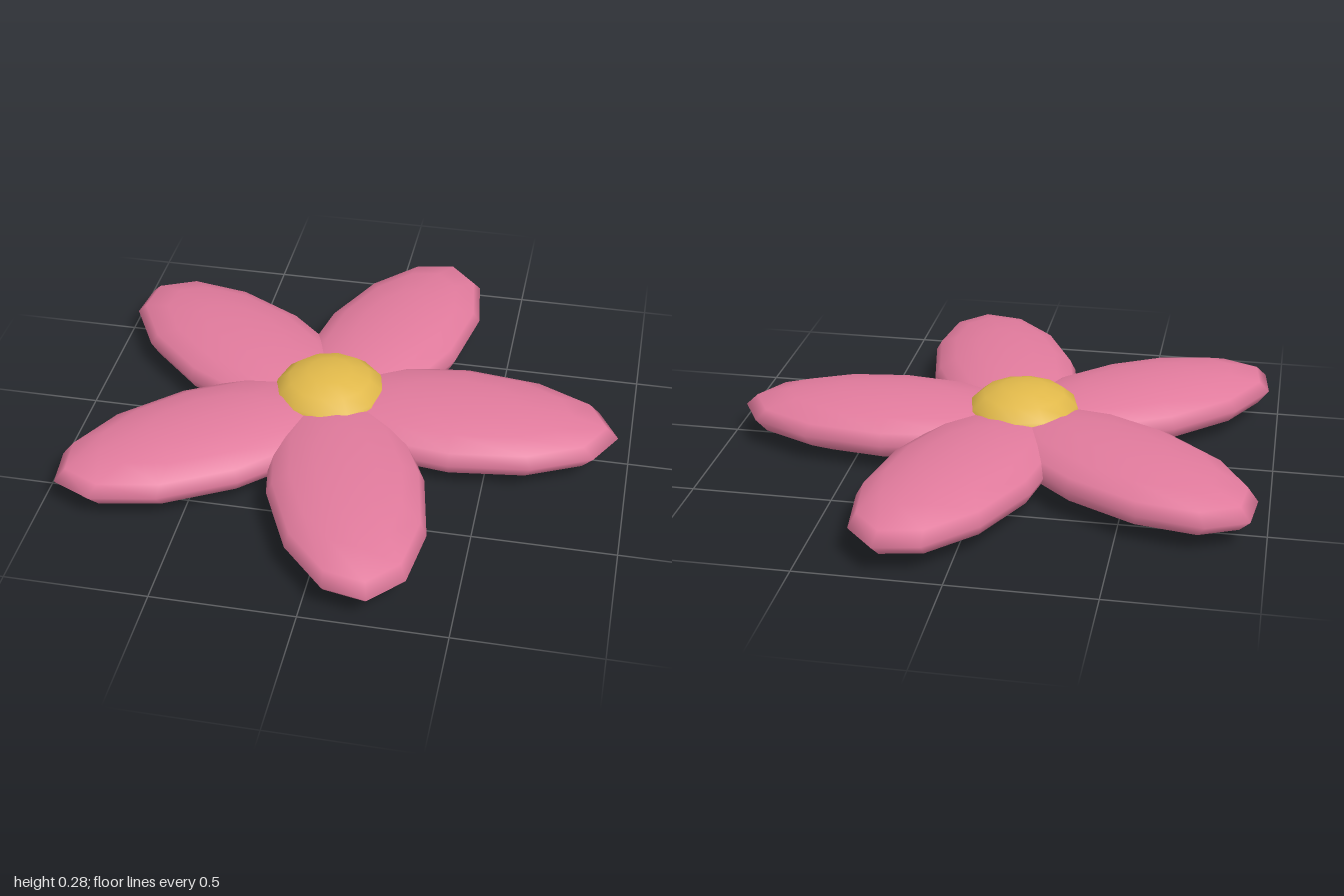
import * as THREE from 'three';

export function createModel() {
  const flower = new THREE.Group();
  flower.name = 'flower';

  const pink = new THREE.MeshStandardMaterial({ color: 0xe07a9c });
  const yellow = new THREE.MeshStandardMaterial({ color: 0xe0b84a });

  // Shared low-poly ball, smooth shaded, squashed into every part
  const ball = new THREE.SphereGeometry(1, 12, 8);
  const hubX = -0.094; // five petals do not balance about the hub in x

  // Domed centre
  const centre = new THREE.Mesh(ball, yellow);
  centre.name = 'flowerCentre';
  centre.scale.set(0.21, 0.12, 0.21);
  centre.position.set(hubX, 0.155, 0);
  flower.add(centre);

  // Five flattened petals around the hub, the first along +x
  for (let i = 0; i < 5; i++) {
    const angle = (i * Math.PI * 2) / 5;
    const petal = new THREE.Mesh(ball, pink);
    petal.name = `petal${i + 1}`;
    petal.scale.set(0.575, 0.11, 0.275);
    petal.rotation.y = angle;
    petal.position.set(hubX + 0.475 * Math.cos(angle), 0.11, -0.475 * Math.sin(angle));
    flower.add(petal);
  }

  return flower;
}
